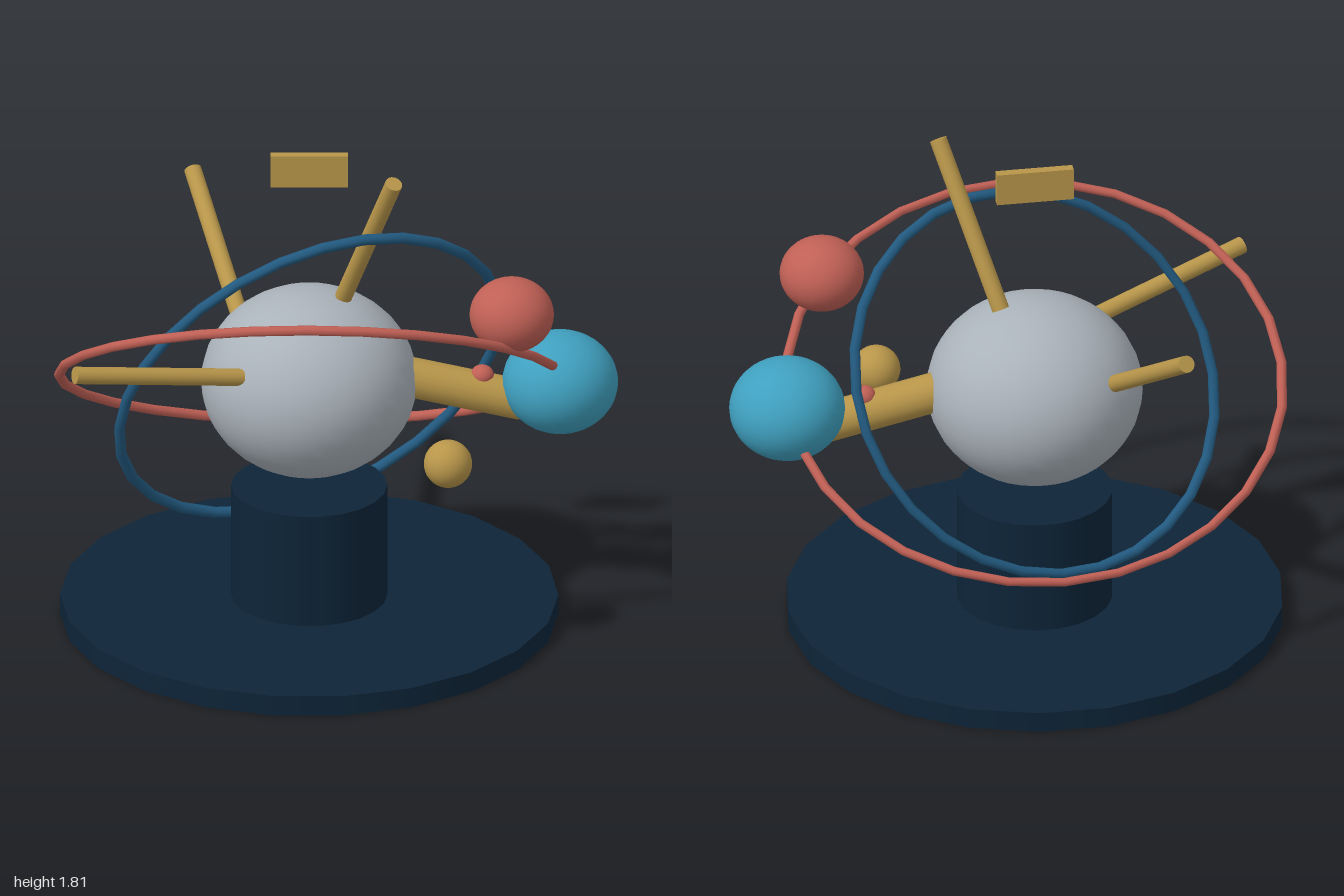
import * as THREE from 'three';

const mat = (name, color) => {
  const m = new THREE.MeshStandardMaterial({ color });
  m.name = name;
  return m;
};

export function createModel() {
  const group = new THREE.Group();
  const navy = mat('navy', 0x0d2438);
  const blue = mat('ringBlue', 0x225a80);
  const red = mat('coral', 0xc06055);
  const gold = mat('brass', 0xb8964a);
  const grey = mat('silver', 0xaab2ba);
  const teal = mat('teal', 0x3fa0bf);
  const CX = -0.097; // axis of the stand
  const SQUASH = 0.885; // flattening shared by the balls and rings

  const add = (name, geometry, material, position) => {
    const mesh = new THREE.Mesh(geometry, material);
    mesh.name = name;
    mesh.position.set(...position);
    group.add(mesh);
    return mesh;
  };

  const disc = (name, r, y0, y1) =>
    add(name, new THREE.CylinderGeometry(r, r, y1 - y0, 22, 1, false, Math.PI / 2), navy, [CX, (y0 + y1) / 2, 0]);

  const ball = (name, r, material, position, squash = SQUASH) =>
    add(name, new THREE.SphereGeometry(r, 32, 20), material, position).scale.set(1, squash, 1);

  const ring = (name, r, tube, material, rotation) => {
    const mesh = add(name, new THREE.TorusGeometry(r, tube, 8, 28), material, [CX, 0.927, 0]);
    mesh.rotation.set(...rotation);
    mesh.scale.set(1, SQUASH, 1);
  };

  // Round bar running from a to b
  const rod = (name, r, a, b) => {
    const start = new THREE.Vector3(...a), end = new THREE.Vector3(...b);
    const dir = end.clone().sub(start);
    const mid = start.clone().add(end).multiplyScalar(0.5);
    const mesh = add(name, new THREE.CylinderGeometry(r, r, dir.length(), 16), gold, mid.toArray());
    mesh.quaternion.setFromUnitVectors(new THREE.Vector3(0, 1, 0), dir.normalize());
  };

  // Stand
  disc('base', 0.884, 0, 0.075);
  disc('pedestal', 0.277, 0.075, 0.5);

  // Balls
  ball('body', 0.384, grey, [CX, 0.907, 0]);
  ball('head', 0.206, teal, [0.793, 0.905, 0]);
  ball('redPlanet', 0.15, red, [0.623, 1.289, 0.27]);
  ball('smallMoon', 0.042, red, [0.516, 0.93, 0]);
  ball('brassMoon', 0.086, gold, [0.398, 0.786, 0.444], 1);

  // Tilted orbit rings
  ring('redRing', 0.888, 0.018, red, [0.94, 0, 0]);
  ring('blueRing', 0.739, 0.02, blue, [0.451, 0.314, 0.66]);

  // Neck and radiating rods
  rod('neck', 0.072, [0.2, 0.935, 0], [0.66, 0.833, 0]);
  rod('topRod', 0.031, [0.025, 1.235, 0], [0.205, 1.795, 0.267]);
  rod('backRod', 0.031, [-0.34, 1.03, -0.24], [-0.515, 1.38, -0.765]);
  rod('sideRod', 0.031, [-0.335, 1.03, 0.245], [-0.925, 1.145, 0.485]);

  // Floating plate
  add('plate', new THREE.BoxGeometry(0.276, 0.12, 0.034), gold, [CX, 1.727, 0]);

  return group;
}
